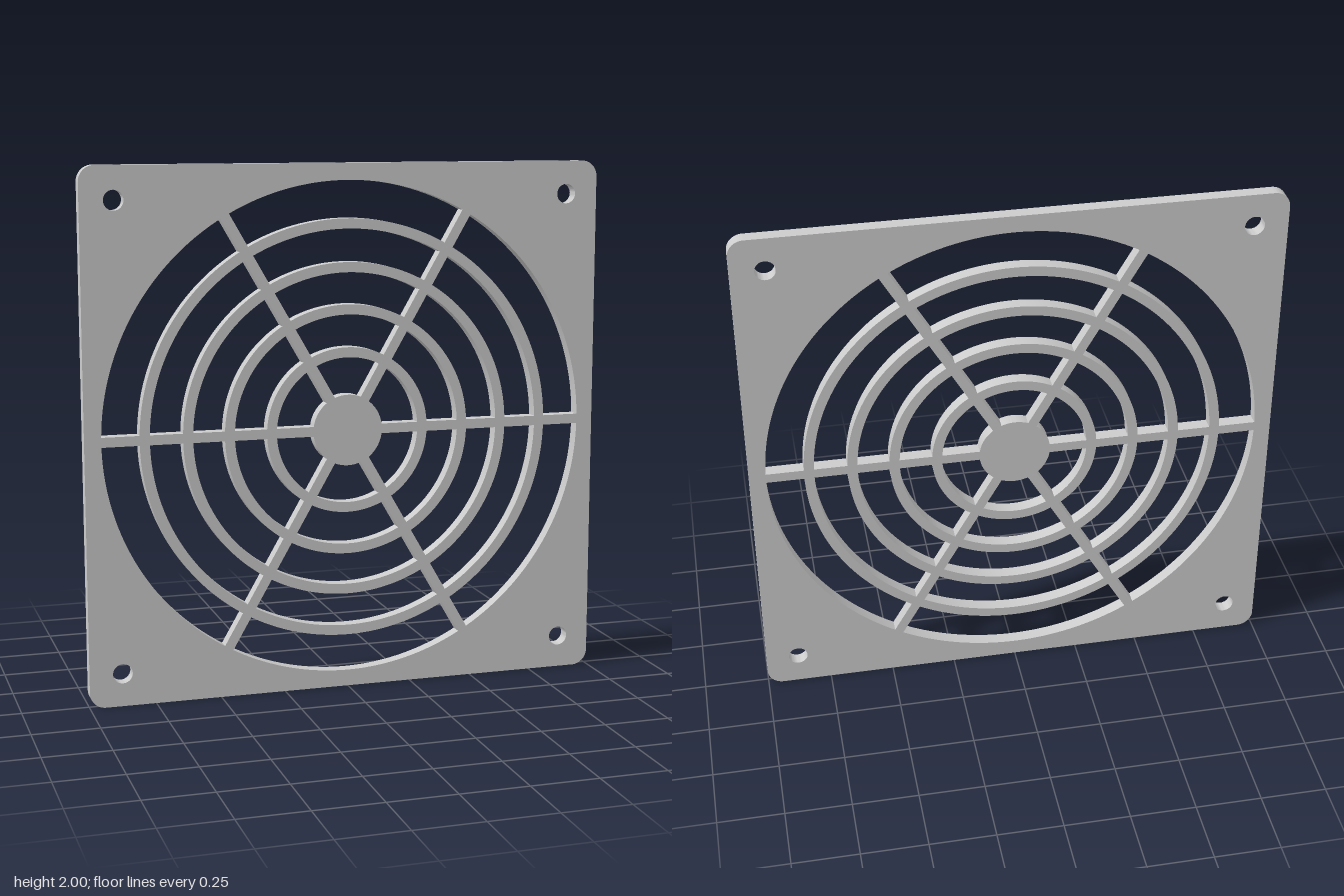
import * as THREE from 'three';
import { toCreasedNormals } from 'three/addons/utils/BufferGeometryUtils.js';

const DEPTH = 0.05;
const CORNER = 0.06;
const SPOKES = 6;
const SPOKE_HALF = 0.0185;
const HUB_RADIUS = 0.135;
const OPENING_RADIUS = 0.937;
const RING_WIDTH = 0.038;
const RING_RADII = [0.296, 0.457, 0.615, 0.777]; // centre lines

// Square outline with rounded corners
function plateOutline() {
  const s = new THREE.Shape();
  const c = 1 - CORNER;
  const corners = [[c, c], [-c, c], [-c, -c], [c, -c]];
  corners.forEach(([x, y], i) =>
    s.absarc(x, y, CORNER, i * Math.PI / 2, (i + 1) * Math.PI / 2, false));
  s.closePath();
  return s;
}

// Curved slot between two radii and two neighbouring spokes
function slot(inner, outer, index) {
  const start = index * 2 * Math.PI / SPOKES;
  const end = start + 2 * Math.PI / SPOKES;
  const di = Math.asin(SPOKE_HALF / inner);
  const d = Math.asin(SPOKE_HALF / outer);
  const p = new THREE.Path();
  p.absarc(0, 0, outer, start + d, end - d, false);
  p.absarc(0, 0, inner, end - di, start + di, true);
  p.closePath();
  return p;
}

export function createModel() {
  const group = new THREE.Group();
  group.name = 'fanGuard';
  const plate = plateOutline();

  // Slots leave the hub, rings and spokes standing
  const inner = [HUB_RADIUS, ...RING_RADII.map(r => r + RING_WIDTH / 2)];
  const outer = [...RING_RADII.map(r => r - RING_WIDTH / 2), OPENING_RADIUS];
  inner.forEach((r, band) => {
    for (let i = 0; i < SPOKES; i++) plate.holes.push(slot(r, outer[band], i));
  });

  // Screw holes in the corners
  for (const x of [-0.875, 0.875]) {
    for (const y of [-0.875, 0.875]) {
      plate.holes.push(new THREE.Path().absarc(x, y, 0.037, 0, Math.PI * 2, true));
    }
  }

  // One solid plate, sharp at the rims and smooth around the curves
  const geometry = new THREE.ExtrudeGeometry(plate, {
    depth: DEPTH, bevelEnabled: false, curveSegments: 24,
  });
  geometry.translate(0, 1, -DEPTH / 2);
  const guard = new THREE.Mesh(
    toCreasedNormals(geometry, 0.5),
    new THREE.MeshStandardMaterial({ color: 0xcccccc }));
  guard.name = 'grillePlate';
  group.add(guard);
  return group;
}
